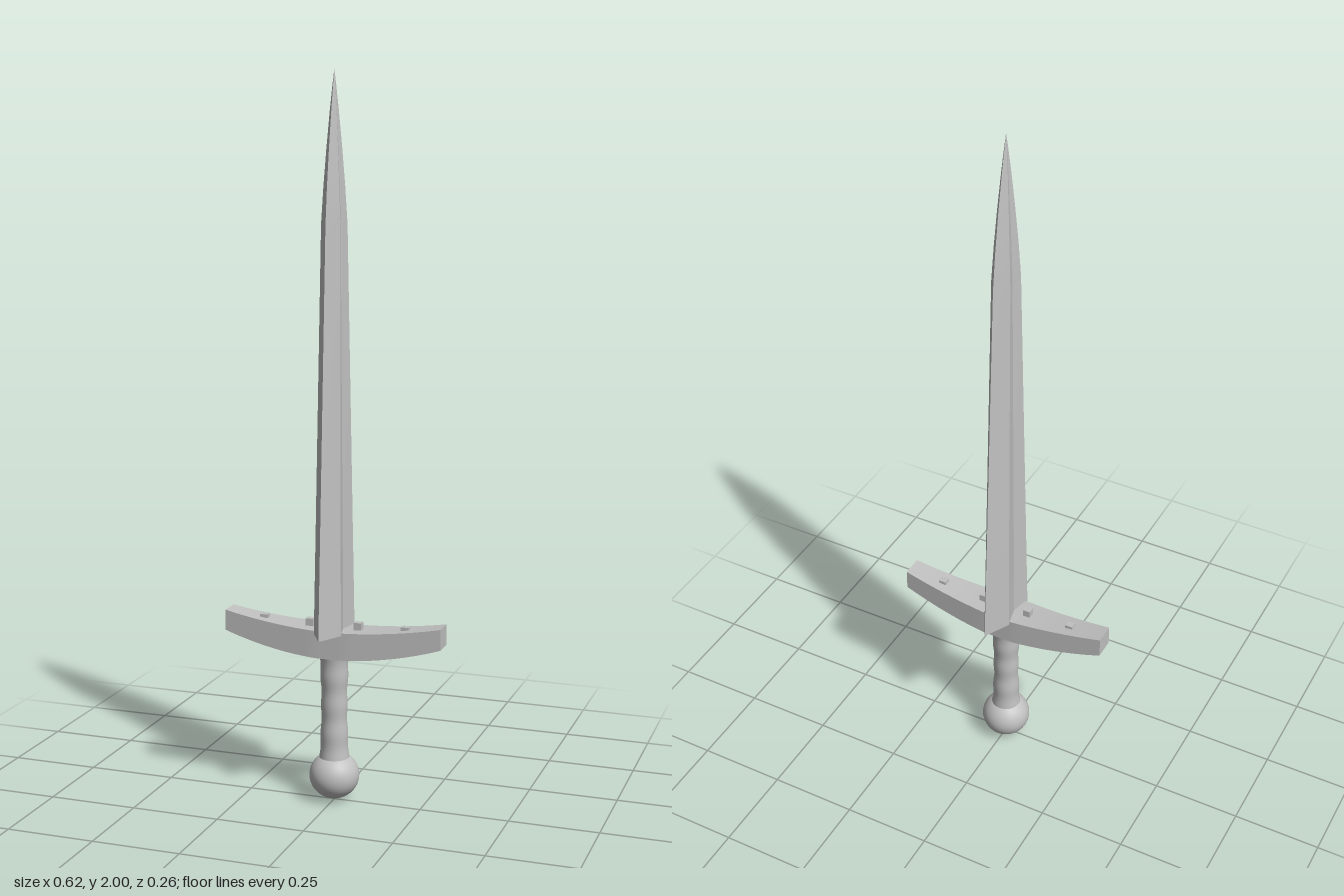
import * as THREE from 'three';
import { toCreasedNormals } from 'three/addons/utils/BufferGeometryUtils.js';

const steel = new THREE.MeshStandardMaterial({ color: 0xc0c0c0 });
steel.name = 'steel grey';

function add(group, name, geometry) {
  const mesh = new THREE.Mesh(geometry, steel);
  mesh.name = name;
  group.add(mesh);
  return mesh;
}

// Blade: eight-sided hollow-ground sections, skinned up to the point
function bladeGeometry() {
  // height, edge half width (z), ridge half width (z), ridge x, valley x
  const sections = [
    [0.49, 0.13, 0.058, 0.039, 0.026],
    [1.6, 0.07, 0.029, 0.027, 0.018],
    [1.7, 0.058, 0.024, 0.022, 0.015],
    [1.8, 0.042, 0.017, 0.016, 0.011],
    [1.9, 0.023, 0.009, 0.009, 0.006],
    [1.96, 0.010, 0.004, 0.004, 0.003],
    [2.0, 0.0005, 0.0003, 0.0003, 0.0002],
  ];
  const rings = sections.map(([y, e, rz, rx, v]) => [
    [0, y, e], [rx, y, rz], [v, y, 0], [rx, y, -rz],
    [0, y, -e], [-rx, y, -rz], [-v, y, 0], [-rx, y, rz],
  ]);
  const pos = [];
  const tri = (a, b, c) => pos.push(...a, ...b, ...c);
  for (let s = 0; s < rings.length - 1; s++) {
    for (let i = 0; i < 8; i++) {
      const j = (i + 1) % 8;
      const lo = rings[s], hi = rings[s + 1];
      tri(lo[i], lo[j], hi[j]);
      tri(lo[i], hi[j], hi[i]);
    }
  }
  // Flat underside and tip
  const base = [0, sections[0][0], 0], tip = [0, 2, 0];
  const last = rings[rings.length - 1];
  for (let i = 0; i < 8; i++) {
    const j = (i + 1) % 8;
    tri(base, rings[0][j], rings[0][i]);
    tri(tip, last[i], last[j]);
  }
  const g = new THREE.BufferGeometry();
  g.setAttribute('position', new THREE.Float32BufferAttribute(pos, 3));
  return toCreasedNormals(g, 0.12);
}

// Crossguard: a box bent upward and narrowed toward its ends
const HALF = 0.312;
const guardTop = (x) => 0.495 + 0.031 * (x / HALF) ** 2;
const guardBottom = (x) => 0.418 + 0.05 * (x / HALF) ** 2;

function guardGeometry() {
  const g = new THREE.BoxGeometry(2 * HALF, 1, 2, 26, 1, 1);
  const p = g.attributes.position;
  for (let i = 0; i < p.count; i++) {
    const x = p.getX(i);
    const t = Math.max(0, (Math.abs(x) - 0.05) / (HALF - 0.05));
    p.setY(i, p.getY(i) > 0 ? guardTop(x) : guardBottom(x));
    p.setZ(i, p.getZ(i) * (0.05 - 0.02 * t));
  }
  g.computeVertexNormals();
  return g;
}

// Grip: a waisted handle with shallow finger swells
function gripGeometry() {
  const profile = [];
  for (let i = 0; i <= 28; i++) {
    const t = i / 28;
    const r = 0.036 + 0.006 * (2 * t - 1) ** 2 + 0.0012 * Math.cos(t * Math.PI * 8);
    profile.push(new THREE.Vector2(r, 0.115 + 0.32 * t));
  }
  return new THREE.LatheGeometry(profile, 32);
}

// Pommel: a ball with a slightly pointed underside
function pommelGeometry() {
  const profile = [new THREE.Vector2(0, 0), new THREE.Vector2(0.012, 0.005)];
  for (let i = 0; i <= 20; i++) {
    const a = -1.2 + (1.2 + Math.PI / 2) * (i / 20);
    profile.push(new THREE.Vector2(Math.max(0, 0.07 * Math.cos(a)), 0.072 + 0.066 * Math.sin(a)));
  }
  return new THREE.LatheGeometry(profile, 32);
}

export function createModel() {
  const model = new THREE.Group();
  model.name = 'dagger';
  add(model, 'blade', bladeGeometry());
  add(model, 'crossguard', guardGeometry());
  add(model, 'grip', gripGeometry());
  add(model, 'pommel', pommelGeometry());

  // Small square studs along the top of the crossguard
  const stud = new THREE.BoxGeometry(0.022, 0.03, 0.02);
  for (const side of [-1, 1]) {
    for (const x of [0.07, 0.205]) {
      add(model, 'guardStud', stud).position.set(side * x, 0.502, 0);
    }
  }
  return model;
}
